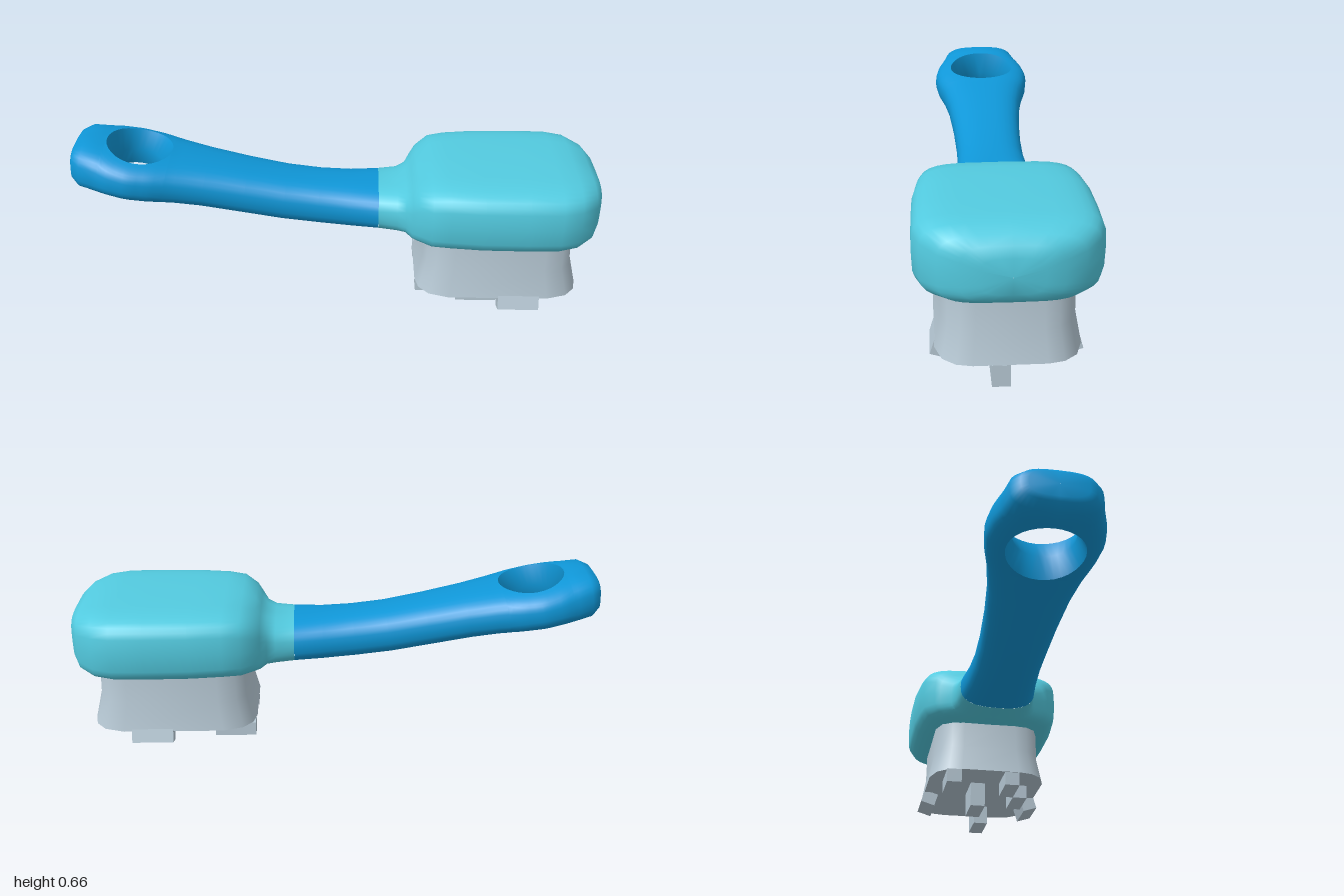
import * as THREE from 'three';
import { toCreasedNormals } from 'three/addons/utils/BufferGeometryUtils.js';

const mat = (name, color) => Object.assign(new THREE.MeshStandardMaterial({ color }), { name });

// Section rows: x, centre height, half height, half width, squareness
const HANDLE = [
  [-0.992, 0.584, 0.001, 0.001, 3], [-0.99, 0.584, 0.05, 0.1, 3], [-0.982, 0.583, 0.065, 0.125, 3],
  [-0.95, 0.577, 0.085, 0.155, 3], [-0.9, 0.567, 0.087, 0.17, 2.9], [-0.84, 0.556, 0.087, 0.193, 2.8],
  [-0.77, 0.542, 0.086, 0.205, 2.8], [-0.69, 0.527, 0.085, 0.194, 2.8], [-0.6, 0.509, 0.084, 0.17, 2.7],
  [-0.5, 0.488, 0.084, 0.152, 2.6], [-0.35, 0.456, 0.084, 0.138, 2.6], [-0.2, 0.427, 0.084, 0.131, 2.6],
  [-0.07, 0.411, 0.084, 0.13, 2.6], [0.05, 0.402, 0.084, 0.138, 2.6], [0.16, 0.4, 0.084, 0.152, 2.7],
];
const HEAD = [
  [0.16, 0.4, 0.084, 0.152, 2.7], [0.23, 0.4, 0.085, 0.163, 3], [0.263, 0.407, 0.09, 0.178, 3.3],
  [0.285, 0.417, 0.1, 0.222, 3.7], [0.305, 0.43, 0.113, 0.242, 4], [0.355, 0.442, 0.125, 0.282, 4.4],
  [0.42, 0.446, 0.129, 0.293, 4.5], [0.54, 0.447, 0.131, 0.306, 4.5], [0.7, 0.447, 0.132, 0.308, 4.5],
  [0.82, 0.447, 0.131, 0.305, 4.5], [0.89, 0.447, 0.127, 0.282, 4.5], [0.95, 0.445, 0.113, 0.228, 4.2],
  [0.98, 0.443, 0.092, 0.16, 4], [0.995, 0.44, 0.06, 0.1, 3.5], [1, 0.44, 0.001, 0.001, 3],
];
const HOLE = { x: -0.76, rx: 0.122, rz: 0.136, waist: 0.8 };

function sample(rows, x) {
  if (x <= rows[0][0]) return rows[0];
  for (let i = 1; i < rows.length; i++) {
    if (x > rows[i][0]) continue;
    const a = rows[i - 1], b = rows[i], t = (x - a[0]) / (b[0] - a[0]);
    return a.map((v, k) => v + (b[k] - v) * t);
  }
  return rows[rows.length - 1];
}

// Point offset by t across the bent centre line
function place(rows, x, t, z, bent) {
  const slope = bent ? (sample(rows, x + 0.07)[1] - sample(rows, x - 0.07)[1]) / 0.14 : 0;
  const l = Math.hypot(1, slope);
  return [x - t * slope / l, sample(rows, x)[1] + t / l, z];
}

// Half of a rounded section, from the top over the outside to the bottom
function halfSection(rows, x, inner, bent) {
  const [, , h, w, n] = sample(rows, x), steps = 16, pts = [];
  const a0 = Math.asin(Math.pow(Math.min(inner / w, 1), n / 2));
  for (let i = 0; i <= steps; i++) {
    const a = a0 + (Math.PI - 2 * a0) * i / steps, c = Math.cos(a);
    const t = h * Math.sign(c) * Math.pow(Math.abs(c), 2 / n);
    pts.push(place(rows, x, t, w * Math.pow(Math.max(Math.sin(a), 0), 2 / n), bent));
  }
  return pts;
}

// Skins a grid of points and its mirror image in z
function skin(grid, out) {
  for (let i = 0; i + 1 < grid.length; i++) {
    for (let j = 0; j + 1 < grid[i].length; j++) {
      const a = grid[i][j], b = grid[i][j + 1], c = grid[i + 1][j + 1], d = grid[i + 1][j];
      for (const p of [a, b, c, a, c, d]) out.push(...p);
      for (const [x, y, z] of [a, c, b, a, d, c]) out.push(x, y, -z);
    }
  }
}

function loft(rows, hole) {
  const out = [], holeXs = [];
  if (hole) for (let i = 0; i <= 16; i++) holeXs.push(hole.x - hole.rx * Math.cos(Math.PI * i / 16));
  const outside = rows.map((r) => r[0]).filter((x) => !hole || Math.abs(x - hole.x) > hole.rx + 0.005);
  const xs = [...outside, ...holeXs].sort((a, b) => a - b);
  const inner = (x) => hole ? hole.rz * Math.sqrt(Math.max(0, 1 - ((x - hole.x) / hole.rx) ** 2)) : 0;
  skin(xs.map((x) => halfSection(rows, x, inner(x), !!hole)), out);
  // Wall of the hanging hole, narrowing to a waist
  if (hole) {
    skin(holeXs.map((x) => {
      const s = halfSection(rows, x, inner(x), true), k = hole.waist;
      const mid = place(rows, hole.x + (x - hole.x) * k, 0, inner(x) * k, true);
      return [s[s.length - 1], mid, s[0]];
    }), out);
  }
  const g = new THREE.BufferGeometry();
  g.setAttribute('position', new THREE.Float32BufferAttribute(out, 3));
  return toCreasedNormals(g, 0.75);
}

// Flared bristle block with chamfered corners
function bristleBlock() {
  const quarter = [[1, 0.5], [0.96, 0.72], [0.84, 0.9], [0.6, 1]];
  const flip = (sx, sz) => quarter.map(([x, z]) => [x * sx, z * sz]);
  const ring = [...flip(1, 1), ...flip(-1, 1).reverse(), ...flip(-1, -1), ...flip(1, -1).reverse()];
  const levels = [[0.34, 0.28, 0.218], [0.21, 0.285, 0.22], [0.1, 0.312, 0.24], [0.1, 0, 0]];
  const out = [], at = ([y, a, b], [x, z]) => [0.62 + x * a, y, z * b];
  for (let i = 0; i < 3; i++) {
    ring.forEach((p, j) => {
      const q = ring[(j + 1) % ring.length], u = levels[i], v = levels[i + 1];
      out.push(...at(u, p), ...at(u, q), ...at(v, q));
      if (i < 2) out.push(...at(u, p), ...at(v, q), ...at(v, p));
      else out.push(...at(u, q), ...at(v, p), ...at(u, p)), out.splice(-18, 18, ...at(u, p), ...at(u, q), ...at(v, p));
    });
  }
  const g = new THREE.BufferGeometry();
  g.setAttribute('position', new THREE.Float32BufferAttribute(out, 3));
  return toCreasedNormals(g, 0.6);
}

export function createModel() {
  const model = new THREE.Group();
  const blue = mat('handle blue', 0x0f97d8);
  const aqua = mat('head aqua', 0x53cbe0);
  const grey = mat('bristle grey', 0xb8cad6);
  const add = (name, geometry, material) => {
    const m = new THREE.Mesh(geometry, material);
    m.name = name;
    model.add(m);
    return m;
  };
  grey.side = THREE.DoubleSide;

  add('handle', loft(HANDLE, HOLE), blue);
  add('brushHead', loft(HEAD), aqua);
  add('bristleBlock', bristleBlock(), grey);

  // Bristle tufts: centre x, centre z, bottom y, outward tilt
  const tufts = [
    [0.39, 0.09, 0.045, 0], [0.39, -0.15, 0.045, 0], [0.545, 0.15, 0.045, 0], [0.545, -0.03, 0, 0],
    [0.855, 0.03, 0.022, 0], [0.7, 0.21, 0.045, -0.3], [0.7, -0.21, 0.048, 0.3],
  ];
  for (const [x, z, bottom, tilt] of tufts) {
    const h = 0.1 - bottom;
    const g = new THREE.BoxGeometry(0.156, h, 0.06).translate(0, -h / 2, 0);
    const tuft = add('bristleTuft', g, grey);
    tuft.position.set(x, 0.1, z);
    tuft.rotation.x = tilt;
  }
  return model;
}
